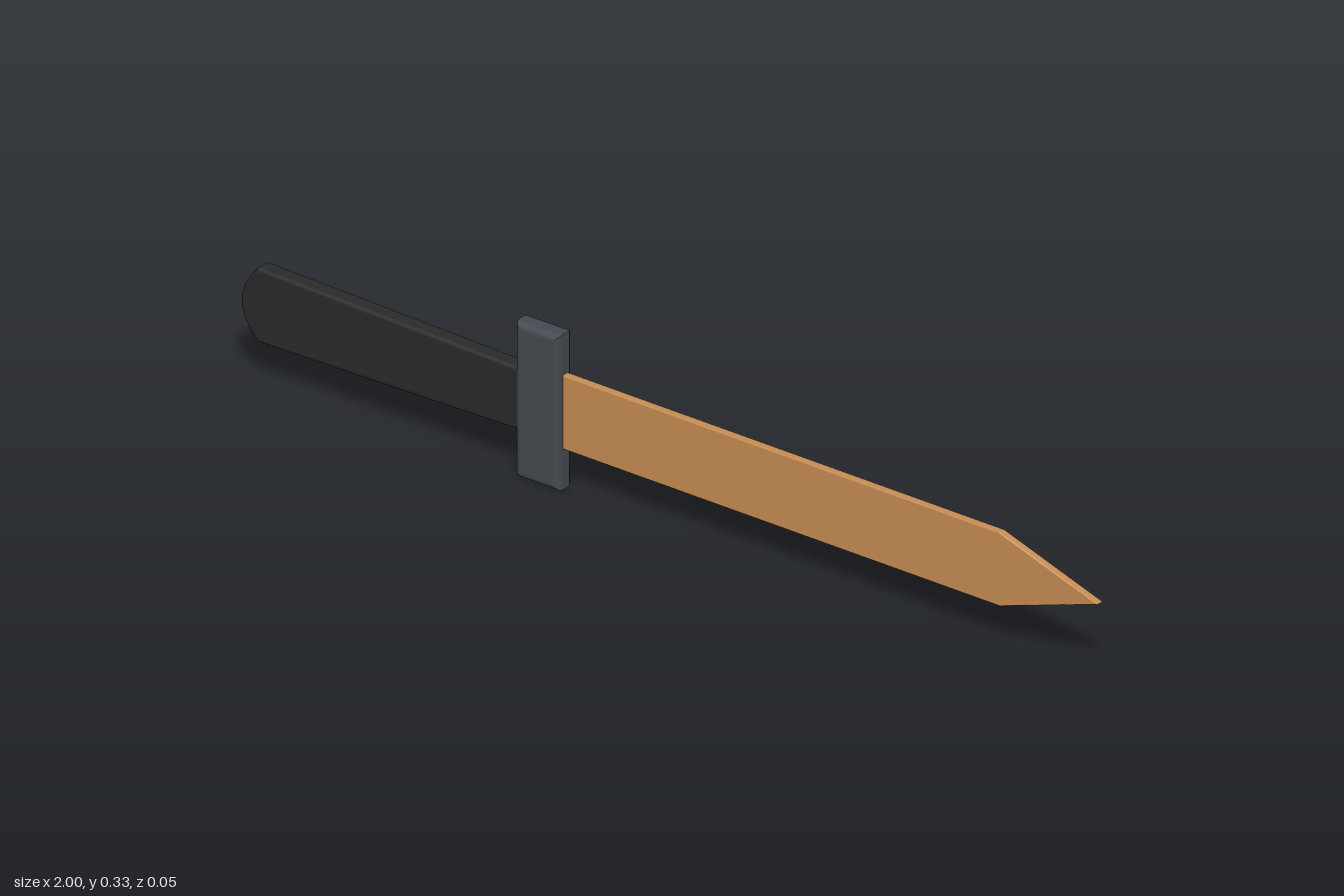
import * as THREE from 'three';

const wood = new THREE.MeshStandardMaterial({ name: 'tan wood', color: 0xc68c53 });
const grip = new THREE.MeshStandardMaterial({ name: 'black grip', color: 0x2a2a2a });
const slate = new THREE.MeshStandardMaterial({ name: 'slate grey', color: 0x444a50 });

const MID = 0.166; // height of the long axis

// Extrudes an outline to a full thickness centred on z = 0, with rounded edges inside the outline
function plate(name, shape, thickness, bevel, material) {
  const depth = thickness - 2 * bevel;
  const geometry = new THREE.ExtrudeGeometry(shape, {
    depth,
    bevelEnabled: true,
    bevelSize: bevel,
    bevelThickness: bevel,
    bevelOffset: -bevel,
    bevelSegments: 4,
    curveSegments: 20,
  });
  geometry.translate(0, MID, -depth / 2);
  const mesh = new THREE.Mesh(geometry, material);
  mesh.name = name;
  return mesh;
}

const outline = (points) => new THREE.Shape(points.map(([x, y]) => new THREE.Vector2(x, y)));

export function createModel() {
  const model = new THREE.Group();
  model.name = 'woodenDagger';

  // Flat blade with a pointed tip
  const blade = outline([[-0.3, -0.079], [0.77, -0.079], [1, 0], [0.77, 0.079], [-0.3, 0.079]]);
  model.add(plate('blade', blade, 0.017, 0.003, wood));

  // Upright crossguard
  const guard = outline([[-0.355, -0.166], [-0.252, -0.166], [-0.252, 0.166], [-0.355, 0.166]]);
  model.add(plate('guard', guard, 0.046, 0.014, slate));

  // Handle widening towards a curved butt
  const handle = new THREE.Shape();
  handle.moveTo(-0.32, -0.066);
  handle.lineTo(-0.32, 0.066);
  handle.lineTo(-0.96, 0.08);
  handle.quadraticCurveTo(-1.04, 0, -0.96, -0.08);
  handle.closePath();
  model.add(plate('handle', handle, 0.037, 0.008, grip));

  return model;
}
